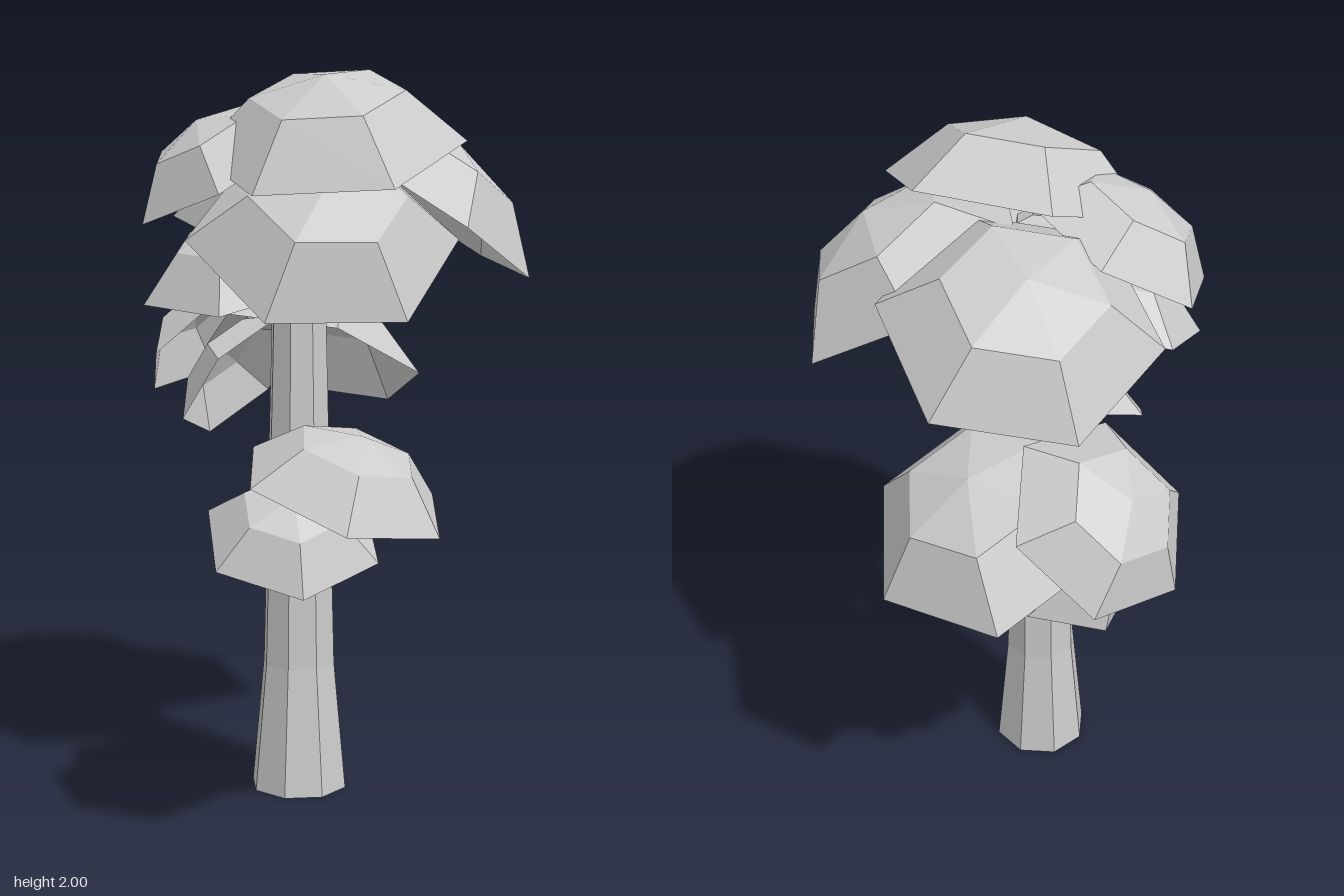
import * as THREE from 'three';

const material = new THREE.MeshStandardMaterial({
  color: 0xcccccc, flatShading: true, side: THREE.DoubleSide,
});
const vec = (p) => new THREE.Vector3(...p);

function add(parent, name, geometry) {
  const mesh = new THREE.Mesh(geometry, material);
  mesh.name = name;
  parent.add(mesh);
  return mesh;
}

// Open six-sided dome: centre of its rim, facing direction, rim radius,
// and the rough position of one rim corner, which sets its spin
function leafDome(parent, name, center, facing, radius, corner) {
  const angle = 1.02;
  const r = radius / Math.sin(angle);
  const geometry = new THREE.SphereGeometry(r, 6, 2, 0, Math.PI * 2, 0, angle);
  geometry.translate(0, -r * Math.cos(angle), 0);
  const y = vec(facing).normalize();
  const x = vec(corner).sub(vec(center)).projectOnPlane(y).normalize();
  const z = new THREE.Vector3().crossVectors(x, y);
  geometry.applyMatrix4(new THREE.Matrix4().makeBasis(x, y, z).setPosition(vec(center)));
  add(parent, name, geometry);
}

// Bent branch with flat sides
function branch(parent, name, points) {
  const curve = new THREE.CatmullRomCurve3(points.map(vec));
  add(parent, name, new THREE.TubeGeometry(curve, 3, 0.035, 6));
}

export function createModel() {
  const tree = new THREE.Group();
  tree.name = 'tree';

  // Eight-sided hollow trunk with a flared foot
  const profile = [[0.137, 0], [0.103, 0.36], [0.066, 1.78]]
    .map(([x, y]) => new THREE.Vector2(x, y));
  const trunk = add(tree, 'trunk', new THREE.LatheGeometry(profile, 8, Math.PI / 8));
  trunk.position.set(-0.023, 0, 0.038);

  // Branches
  branch(tree, 'rightBranch',
    [[-0.02, 0.715, 0.09], [-0.13, 0.76, 0.19], [-0.22, 0.86, 0.3], [-0.3, 0.98, 0.43]]);
  branch(tree, 'leftBranch',
    [[-0.01, 0.88, 0.02], [0.1, 0.96, -0.11], [0.19, 1.05, -0.19], [0.34, 1.25, -0.29]]);

  // Crown
  const crown = new THREE.Group();
  crown.name = 'crown';
  tree.add(crown);
  leafDome(crown, 'topLeaves', [-0.05, 1.79, 0.17], [-0.34, 0.925, 0.17], 0.36, [0.29, 1.92, 0.16]);
  leafDome(crown, 'frontLeftLeaves', [0.235, 1.63, 0.26], [0.38, 0.83, 0.4], 0.36, [0.03, 1.58, 0.55]);
  leafDome(crown, 'backLeftLeaves', [0.215, 1.65, -0.165], [0.2, 0.905, -0.375], 0.36, [0.3, 1.5, -0.48]);
  leafDome(crown, 'frontRightLeaves', [-0.16, 1.55, 0.23], [-0.44, 0.78, 0.46], 0.36, [-0.46, 1.35, 0.28]);
  leafDome(crown, 'backRightUpperLeaves', [-0.16, 1.73, -0.11], [-0.45, 0.86, -0.25], 0.28, [-0.38, 1.58, -0.21]);
  leafDome(crown, 'backRightLowerLeaves', [-0.21, 1.45, -0.01], [-0.345, 0.94, 0.05], 0.275, [-0.2, 1.47, -0.29]);

  // Leaves on the branches
  const low = new THREE.Group();
  low.name = 'branchLeaves';
  tree.add(low);
  leafDome(low, 'leftBranchLeaves', [0.365, 1.17, -0.23], [0.45, 0.89, -0.06], 0.345, [0.68, 1.03, -0.16]);
  leafDome(low, 'leftBranchUpperBackLeaves', [0.22, 1.24, -0.475], [-0.08, 0.73, -0.67], 0.265, [0.41, 1.08, -0.66]);
  leafDome(low, 'leftBranchLowerBackLeaves', [0.236, 1.12, -0.384], [-0.11, 0.62, -0.77], 0.245, [0.25, 0.93, -0.54]);
  leafDome(low, 'rightBranchLeaves', [-0.3, 0.925, 0.41], [0, 0.935, 0.35], 0.28, [-0.25, 0.83, 0.66]);
  leafDome(low, 'rightBranchSideLeaves', [-0.46, 0.83, 0.37], [-0.36, 0.86, 0.34], 0.23, [-0.6, 0.71, 0.52]);

  return tree;
}
